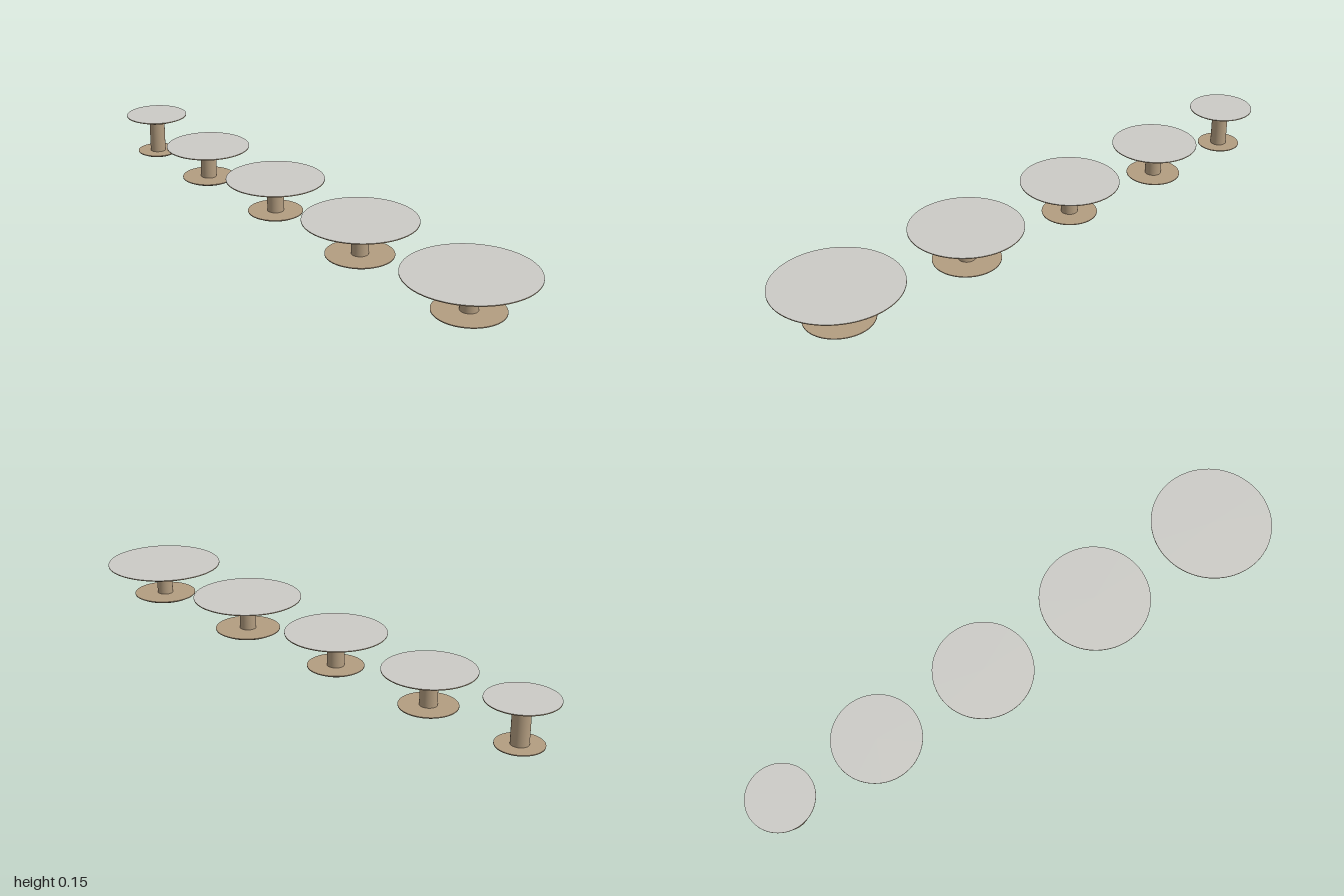
import * as THREE from 'three';

const SEG = 72;

export function createModel() {
  const model = new THREE.Group();
  model.name = 'pedestalTables';

  const tan = new THREE.MeshStandardMaterial({ color: 0xb39d80 });
  tan.name = 'tan metal';
  const grey = new THREE.MeshStandardMaterial({ color: 0xcccbc6 });
  grey.name = 'grey laminate';

  // Cylinder or cone section between two heights
  function disc(parent, name, rTop, rBottom, y0, y1, material, open = false) {
    const geo = new THREE.CylinderGeometry(rTop, rBottom, y1 - y0, SEG, 1, open);
    const mesh = new THREE.Mesh(geo, material);
    mesh.name = name;
    mesh.position.y = (y0 + y1) / 2;
    parent.add(mesh);
  }

  // Thin round slab: short upright rim over an undercut bevel
  function slab(parent, name, r, y, inset, topMaterial) {
    const group = new THREE.Group();
    group.name = name;
    const h = 0.01, lip = 0.003;
    disc(group, name + 'Rim', r, r, y + h - lip, y + h, [tan, topMaterial, tan]);
    disc(group, name + 'Bevel', r, r - inset, y, y + h - lip, tan);
    parent.add(group);
  }

  // x centre, top radius, base radius, height
  const tables = [
    [-0.889, 0.111, 0.074, 0.151],
    [-0.539, 0.147, 0.093, 0.125],
    [-0.132, 0.166, 0.093, 0.125],
    [0.312, 0.185, 0.111, 0.125],
    [0.796, 0.204, 0.111, 0.125],
  ];

  tables.forEach(([x, topR, baseR, height], i) => {
    const table = new THREE.Group();
    table.name = 'table' + (i + 1);
    table.position.x = x;

    const under = height - 0.01;
    slab(table, 'base', baseR, 0, 0.014, tan);
    disc(table, 'column', 0.028, 0.028, 0.01, under - 0.007, tan, true);
    disc(table, 'mountingPlate', 0.074, 0.074, under - 0.007, under, tan);
    slab(table, 'tabletop', topR, under, 0.018, grey);

    model.add(table);
  });

  return model;
}
